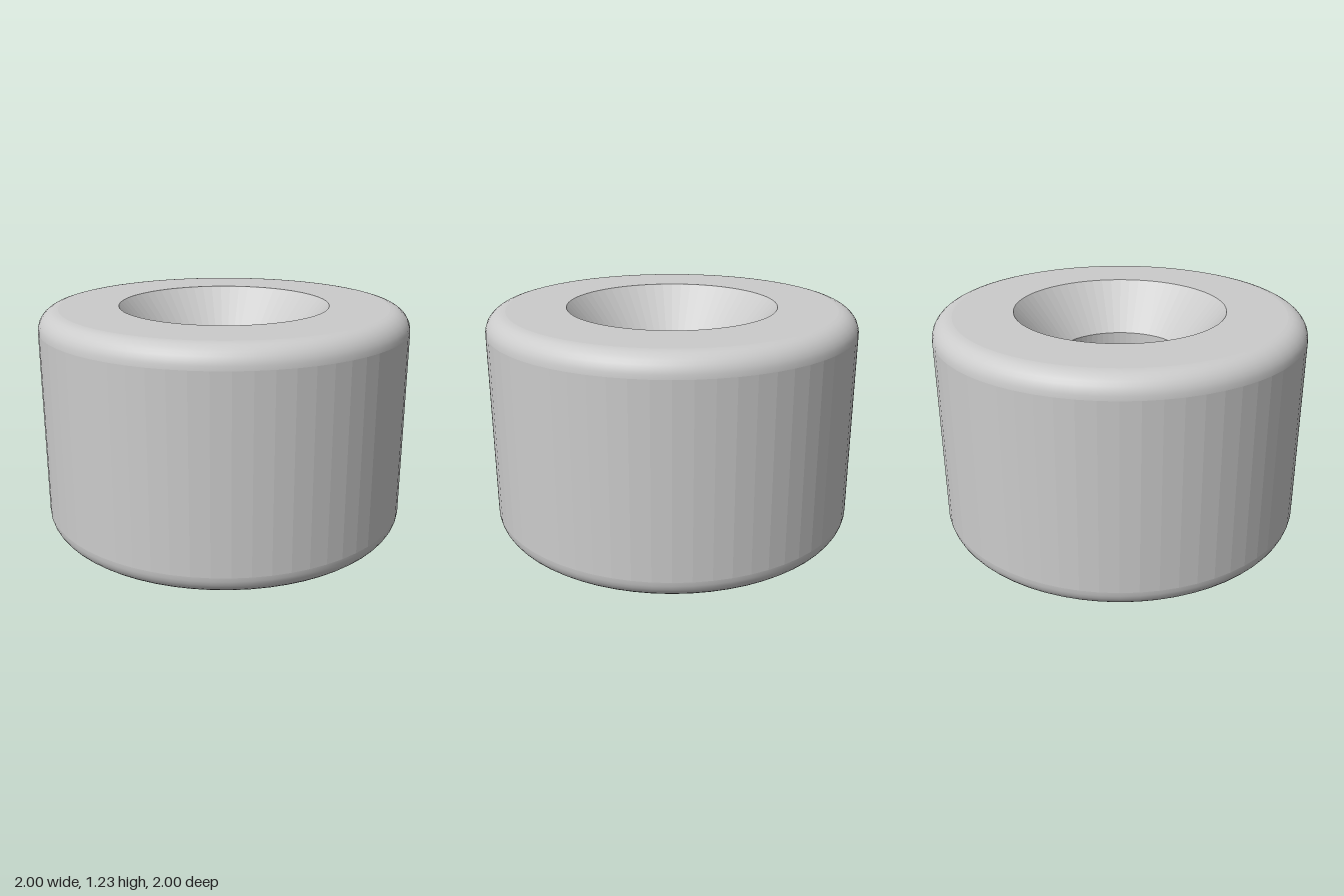
import * as THREE from 'three';

const SEGMENTS = 64;
const HEIGHT = 1.23;
const FILLET = 0.11;

export function createModel() {
  const group = new THREE.Group();
  group.name = 'roller';
  const smooth = new THREE.MeshStandardMaterial({ color: 0xcccccc });
  const faceted = new THREE.MeshStandardMaterial({ color: 0xcccccc, flatShading: true });

  // Each section is its own lathe, so edges between sections stay sharp
  const section = (name, points, material) => {
    const profile = points.map(([r, y]) => new THREE.Vector2(r, y));
    const mesh = new THREE.Mesh(new THREE.LatheGeometry(profile, SEGMENTS), material);
    mesh.name = name;
    group.add(mesh);
  };

  // Quarter-round profile of an outer edge, starting at the given angle
  const arc = (y, start) => Array.from({ length: 9 }, (_, i) => {
    const a = start + (i / 8) * Math.PI / 2;
    return [1 - FILLET + FILLET * Math.cos(a), y + FILLET * Math.sin(a)];
  });

  // Outer body, from the underside up and over to the top face
  section('bottomFace', [[0.57, 0], [1 - FILLET, 0]], smooth);
  section('bottomRoundedEdge', arc(FILLET, -Math.PI / 2), smooth);
  section('outerWall', [[1, FILLET], [1, HEIGHT - FILLET]], faceted);
  section('topRoundedEdge', arc(HEIGHT - FILLET, 0), smooth);
  section('topFace', [[1 - FILLET, HEIGHT], [0.57, HEIGHT]], smooth);

  // Hole: countersink, bore and a narrow central lip, the same from both ends
  const hole = [
    ['topCountersink', 0.57, HEIGHT, 0.35, HEIGHT - 0.26],
    ['topBore', 0.35, HEIGHT - 0.26, 0.35, HEIGHT - 0.47],
    ['topLipFace', 0.35, HEIGHT - 0.47, 0.31, HEIGHT - 0.47],
    ['lipBore', 0.31, HEIGHT - 0.47, 0.31, 0.47],
    ['bottomLipFace', 0.31, 0.47, 0.35, 0.47],
    ['bottomBore', 0.35, 0.47, 0.35, 0.26],
    ['bottomCountersink', 0.35, 0.26, 0.57, 0],
  ];
  for (const [name, r1, y1, r2, y2] of hole) section(name, [[r1, y1], [r2, y2]], faceted);

  return group;
}
